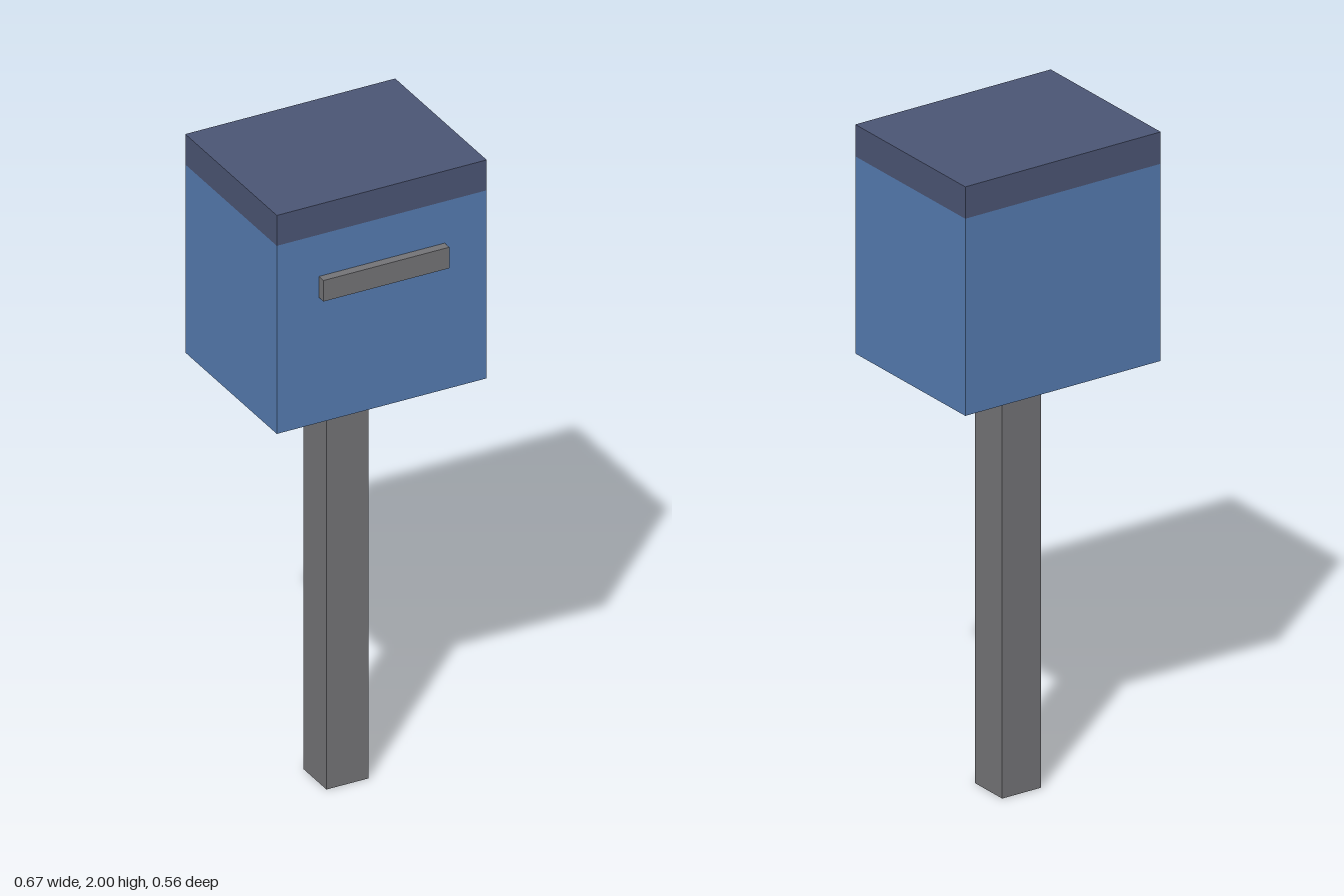
import * as THREE from 'three';

// Flat colours
const material = (name, color) => {
  const m = new THREE.MeshStandardMaterial({ color });
  m.name = name;
  return m;
};

// Box from its width and its y and z ranges, centred on x = 0
function block(name, mat, width, [y0, y1], [z0, z1]) {
  const mesh = new THREE.Mesh(new THREE.BoxGeometry(width, y1 - y0, z1 - z0), mat);
  mesh.name = name;
  mesh.position.set(0, (y0 + y1) / 2, (z0 + z1) / 2);
  return mesh;
}

export function createModel() {
  const blue = material('blue paint', 0x557bb0);
  const navy = material('dark blue paint', 0x4b5574);
  const grey = material('grey metal', 0x737376);

  const back = -0.28, front = 0.253;
  const model = new THREE.Group();
  model.name = 'mailbox';
  model.add(
    // Square post under the middle of the box
    block('post', grey, 0.133, [0, 1.303], [-0.08, 0.053]),
    // Box body with a flush lid on top
    block('body', blue, 0.667, [1.303, 1.903], [back, front]),
    block('lid', navy, 0.667, [1.903, 2], [back, front]),
    // Raised bar of the letter slot
    block('letterSlot', grey, 0.4, [1.703, 1.77], [front, 0.28])
  );
  return model;
}
